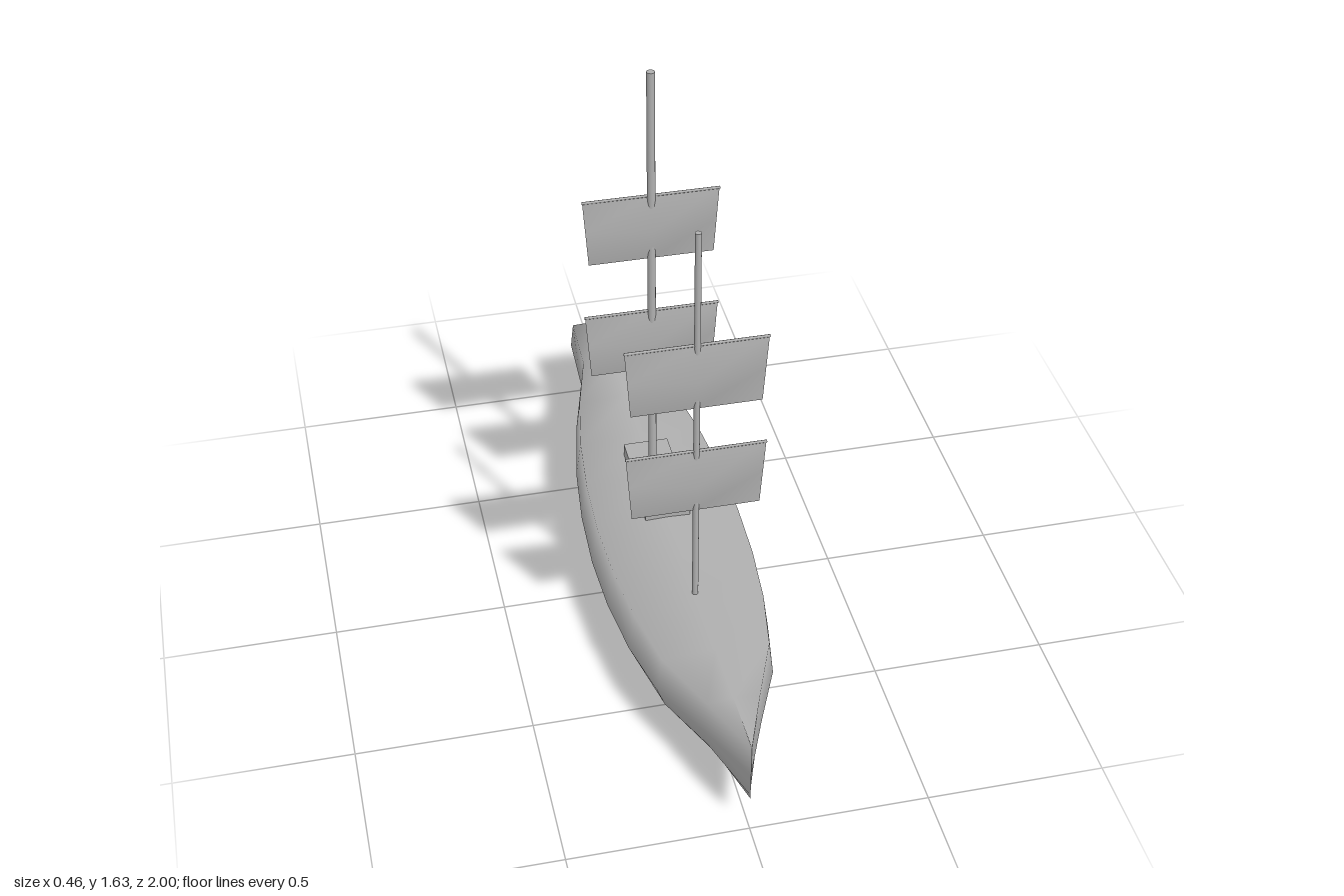
import * as THREE from 'three';

const grey = new THREE.MeshStandardMaterial({ color: 0xb0b0b0, side: THREE.DoubleSide });
grey.name = 'plain grey';

function add(parent, name, geometry, x = 0, y = 0, z = 0) {
  const mesh = new THREE.Mesh(geometry, grey);
  mesh.name = name;
  mesh.position.set(x, y, z);
  parent.add(mesh);
  return mesh;
}

// Hull lofted through stations: [z, half width, keel height, deck height]
function hullGeometry() {
  const stations = [
    [1, 0, 0.115, 0.305], [0.8, 0.08, 0.085, 0.293], [0.6, 0.165, 0.052, 0.283],
    [0.4, 0.203, 0.025, 0.272], [0.2, 0.224, 0.008, 0.263], [0, 0.231, 0, 0.258],
    [-0.2, 0.224, 0.008, 0.258], [-0.4, 0.203, 0.025, 0.26], [-0.6, 0.165, 0.052, 0.264],
    [-0.8, 0.11, 0.085, 0.269], [-1, 0.106, 0.115, 0.276],
  ];
  // Half section from the keel up the side to the deck centre line
  const half = [[0, 0], [0.6, 0.06], [0.87, 0.23], [1, 0.48], [0.92, 0.97], [0, 1]];
  const ring = [...half, ...half.slice(1, -1).reverse().map(([x, y]) => [-x, y])];
  const n = ring.length;
  const positions = [], index = [];
  stations.forEach(([z, w, keel, deck], i) => {
    ring.forEach(([x, y], j) => {
      positions.push(x * w, keel + y * (deck - keel), z);
      if (i === stations.length - 1) return;
      const a = i * n + j, c = i * n + (j + 1) % n;
      index.push(a, a + n, c, c, a + n, c + n);
    });
  });
  // Flat stern
  const last = (stations.length - 1) * n;
  for (let j = 1; j < n - 1; j++) index.push(last, last + j + 1, last + j);
  const g = new THREE.BufferGeometry();
  g.setAttribute('position', new THREE.Float32BufferAttribute(positions, 3));
  g.setIndex(index);
  g.computeVertexNormals();
  return g;
}

// Square sail: tapers toward its foot, middle point pushed forward by the wind
function sailGeometry() {
  const g = new THREE.PlaneGeometry(0.39, 0.212, 2, 2);
  const p = g.attributes.position;
  for (let i = 0; i < p.count; i++) {
    const taper = 0.962 + 0.038 * p.getY(i) / 0.106;
    p.setX(i, p.getX(i) * taper);
    if (i === 4) p.setZ(i, 0.03);
  }
  g.computeVertexNormals();
  return g;
}

function createMast(name, z, top, radius, sailTops) {
  const mast = new THREE.Group();
  mast.name = name;
  mast.position.z = z;
  const height = top - 0.22;
  add(mast, 'pole', new THREE.CylinderGeometry(radius, radius, height, 12), 0, 0.22 + height / 2, 0);
  for (const y of sailTops) {
    add(mast, 'sail', sailGeometry(), 0, y - 0.106, 0);
    const yard = add(mast, 'yard', new THREE.CylinderGeometry(0.004, 0.004, 0.392, 8), 0, y - 0.004, 0);
    yard.rotation.z = Math.PI / 2;
  }
  return mast;
}

export function createModel() {
  const ship = new THREE.Group();
  ship.name = 'sailingShip';

  add(ship, 'hull', hullGeometry());
  add(ship, 'deckhouse', new THREE.BoxGeometry(0.135, 0.065, 0.315), 0, 0.265, -0.16);
  add(ship, 'rudder', new THREE.BoxGeometry(0.01, 0.12, 0.022), 0, 0.095, -0.986);

  ship.add(createMast('foreMast', 0.35, 1.485, 0.009, [1.14, 0.788]));
  ship.add(createMast('mainMast', -0.216, 1.635, 0.012, [1.25, 0.862]));
  return ship;
}
